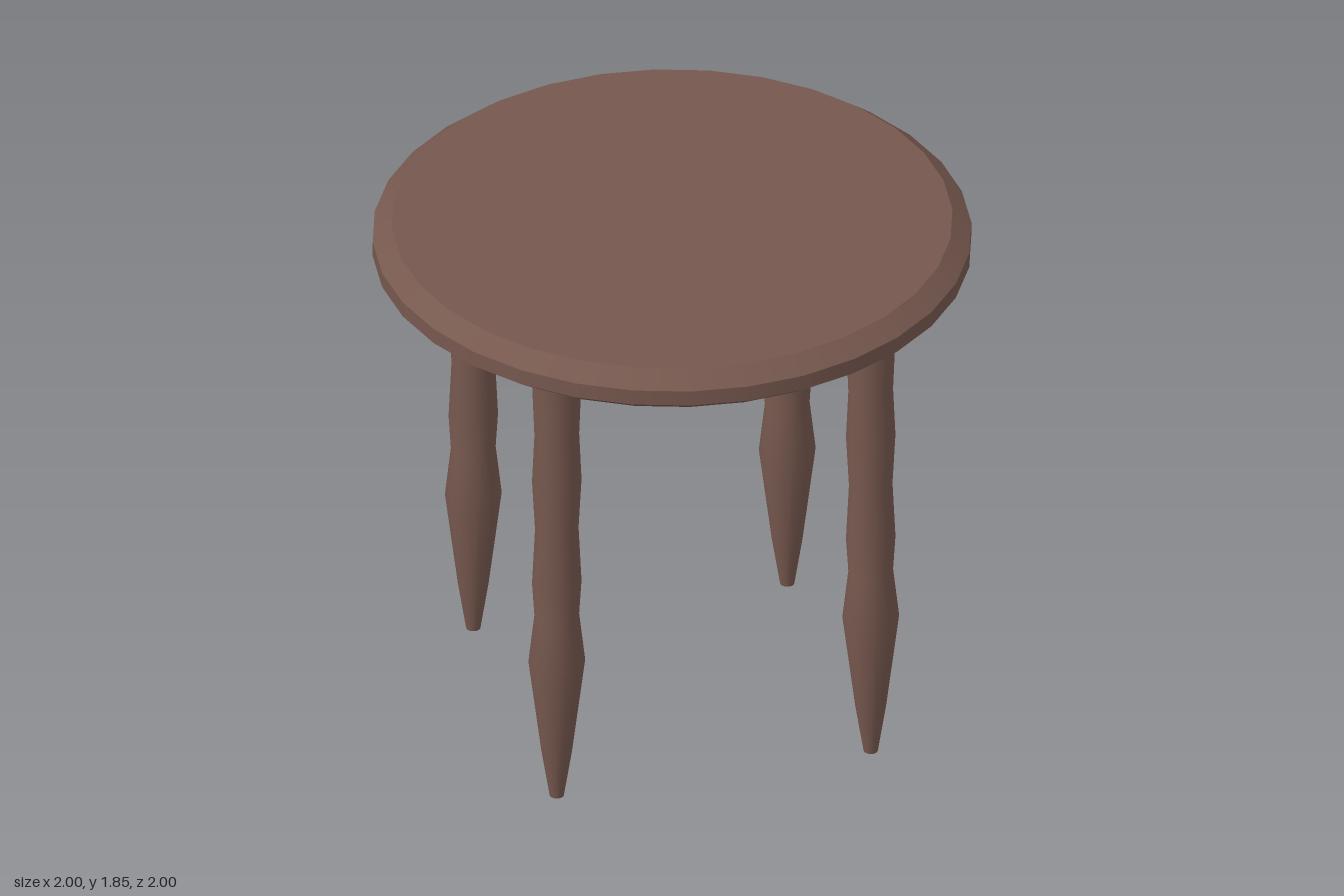
import * as THREE from 'three';

export function createModel() {
  const table = new THREE.Group();
  table.name = 'roundTable';
  const wood = new THREE.MeshStandardMaterial({ color: 0x76584e });
  wood.name = 'brown wood';

  const add = (parent, name, geometry, y = 0) => {
    const mesh = new THREE.Mesh(geometry, wood);
    mesh.name = name;
    mesh.position.y = y;
    parent.add(mesh);
    return mesh;
  };

  // Table top: three crisp-edged bands closed by flat discs
  const top = new THREE.Group();
  top.name = 'tableTop';
  table.add(top);
  const rim = [[0.937, 1.7], [1, 1.745], [1, 1.8], [0.937, 1.852]];
  ['lowerBevel', 'rimBand', 'upperBevel'].forEach((name, i) => {
    const [r0, y0] = rim[i];
    const [r1, y1] = rim[i + 1];
    add(top, name, new THREE.CylinderGeometry(r1, r0, y1 - y0, 32, 1, true), (y0 + y1) / 2);
  });
  add(top, 'topFace', new THREE.CircleGeometry(0.937, 32).rotateX(-Math.PI / 2), 1.852);
  add(top, 'underside', new THREE.CircleGeometry(0.937, 32).rotateX(Math.PI / 2), 1.7);

  // Turned legs: bulged shaft over a tapering foot
  const profile = [
    [0.024, 0], [0.052, 0.18], [0.095, 0.53], [0.075, 0.71], [0.083, 0.84],
    [0.073, 1.05], [0.083, 1.24], [0.075, 1.42], [0.083, 1.63], [0.078, 1.7],
  ].map(([r, y]) => new THREE.Vector2(r, y));
  const legGeometry = new THREE.LatheGeometry(profile, 20);
  const footGeometry = new THREE.CircleGeometry(0.024, 20).rotateX(Math.PI / 2);
  ['leftLeg', 'frontLeg', 'rightLeg', 'backLeg'].forEach((name, i) => {
    const leg = new THREE.Group();
    leg.name = name;
    const a = (i * Math.PI) / 2;
    leg.position.set(0.766 * Math.cos(a), 0, 0.766 * Math.sin(a));
    add(leg, 'legShaft', legGeometry);
    add(leg, 'footEnd', footGeometry);
    table.add(leg);
  });

  return table;
}
